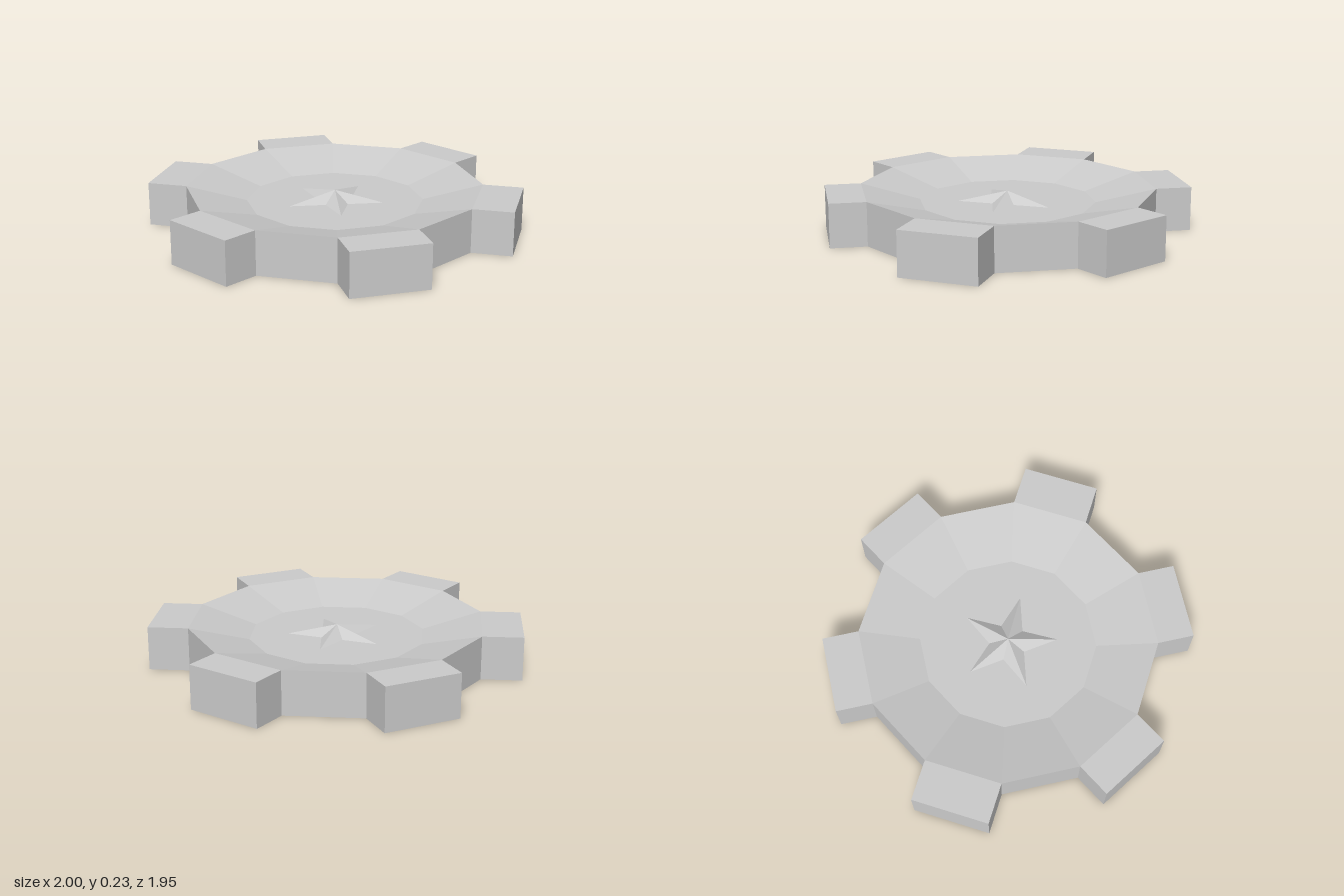
import * as THREE from 'three';

const RIM = 0.79, HEIGHT = 0.235, DISH = 0.08;
const material = new THREE.MeshStandardMaterial({ color: 0xcccccc, flatShading: true });

function part(name, geometry) {
  const mesh = new THREE.Mesh(geometry, material);
  mesh.name = name;
  return mesh;
}

// Five-pointed faceted star: a ten-sided cone with alternating base radii
function starGeometry(height) {
  const geo = new THREE.ConeGeometry(1, height, 10, 1, true);
  const pos = geo.attributes.position;
  for (let i = 0; i < pos.count; i++) {
    if (pos.getY(i) > 0) continue;
    const angle = Math.atan2(pos.getX(i), pos.getZ(i));
    const step = Math.round(angle / (Math.PI / 5));
    const r = step % 2 === 0 ? 0.1 : 0.262;
    pos.setX(i, Math.sin(angle) * r);
    pos.setZ(i, Math.cos(angle) * r);
  }
  geo.translate(0, height / 2, 0);
  const flat = geo.toNonIndexed();
  flat.computeVertexNormals();
  return flat;
}

export function createModel() {
  const group = new THREE.Group();
  group.name = 'gearWheel';

  // Twelve-sided body, dished on both faces
  const profile = [
    [0, DISH], [0.47, DISH], [RIM, 0], [RIM, HEIGHT], [0.47, HEIGHT - DISH], [0, HEIGHT - DISH],
  ].map(([x, y]) => new THREE.Vector2(x, y));
  const body = new THREE.LatheGeometry(profile, 12).toNonIndexed();
  body.computeVertexNormals();
  group.add(part('body', body));

  // Square teeth on every other side; the two sideways ones are slightly longer
  const width = 2 * RIM * Math.sin(Math.PI / 12);
  const apothem = RIM * Math.cos(Math.PI / 12);
  for (let i = 0; i < 6; i++) {
    const length = i % 3 === 2 ? 0.215 : 0.193;
    const geo = new THREE.BoxGeometry(width, HEIGHT, length);
    geo.translate(0, HEIGHT / 2, apothem + length / 2);
    const tooth = part('tooth' + (i + 1), geo);
    tooth.rotation.y = -Math.PI / 12 + i * Math.PI / 3;
    group.add(tooth);
  }

  // Raised stars in the middle of both faces
  const topStar = part('topStar', starGeometry(0.055));
  topStar.position.y = HEIGHT - DISH;
  const bottomStar = part('bottomStar', starGeometry(0.055));
  bottomStar.rotation.z = Math.PI;
  bottomStar.position.y = DISH;
  group.add(topStar, bottomStar);

  return group;
}
